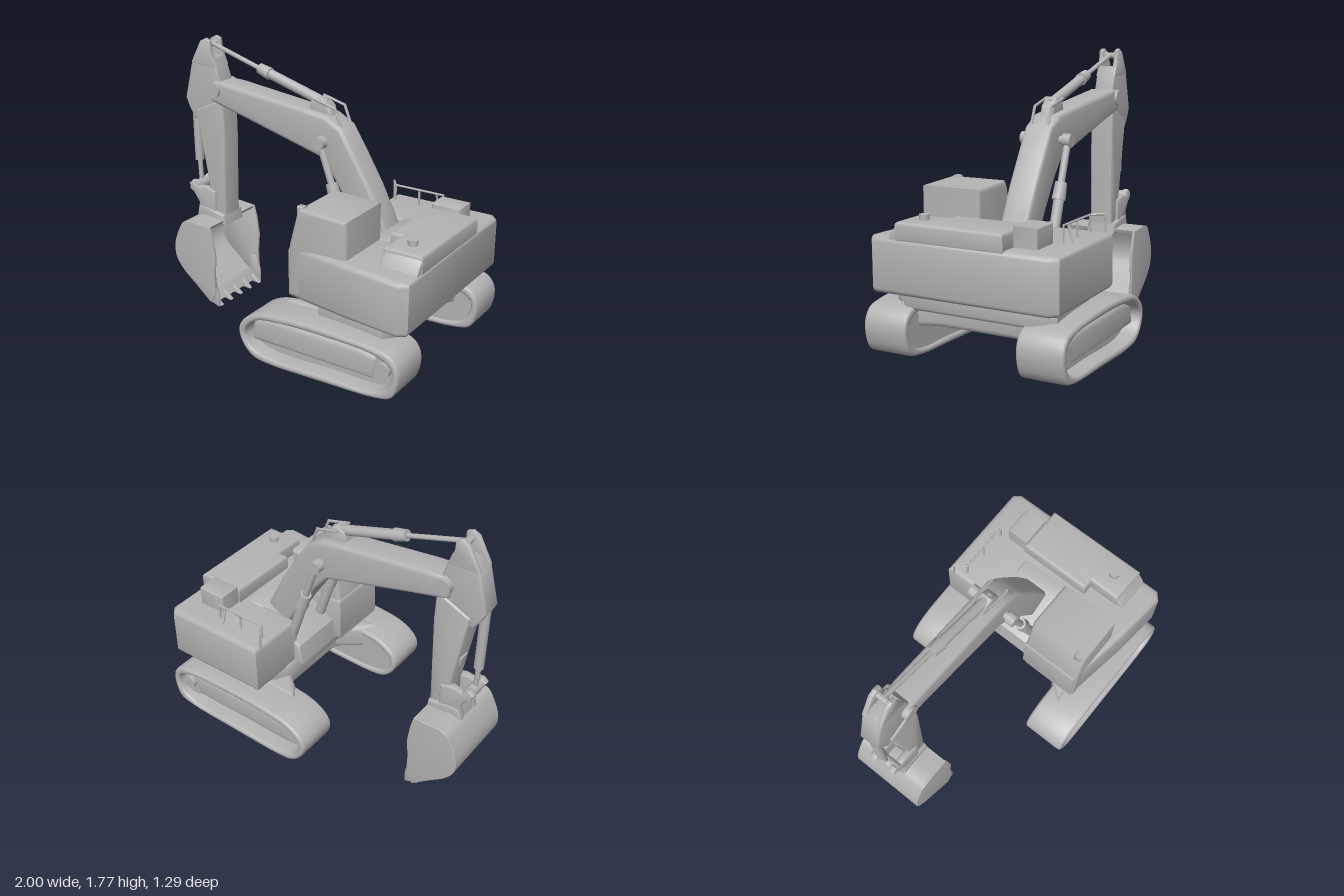
import * as THREE from 'three';
import { toCreasedNormals } from 'three/addons/utils/BufferGeometryUtils.js';

const grey = new THREE.MeshStandardMaterial({ color: 0xb4b4b4, side: THREE.DoubleSide });
grey.name = 'plain grey';

const ARM_Z = -0.08; // centre plane of boom, stick and bucket

function add(parent, name, geometry, crease = 0.8) {
  const mesh = new THREE.Mesh(toCreasedNormals(geometry, crease), grey);
  mesh.name = name;
  parent.add(mesh);
  return mesh;
}

const toShape = (pts) => new THREE.Shape(pts.map(([x, y]) => new THREE.Vector2(x, y)));

function extrude(shape, from, to, bevel) {
  const g = new THREE.ExtrudeGeometry(shape, {
    depth: to - from - 2 * bevel, bevelEnabled: bevel > 0, bevelThickness: bevel,
    bevelSize: bevel, bevelOffset: -bevel, bevelSegments: 3, curveSegments: 8,
  });
  return g.translate(0, 0, from + bevel);
}

// Side profile (x, y) extruded across z
const side = (pts, z0, z1, bevel = 0.012) => extrude(toShape(pts), z0, z1, bevel);
// Plan outline (x, z) extruded up from y0 to y1
const plan = (pts, y0, y1, bevel = 0.015) =>
  extrude(toShape(pts.map(([x, z]) => [x, -z])), y0, y1, bevel).rotateX(-Math.PI / 2);

function box(x0, x1, y0, y1, z0, z1, bevel = 0.01) {
  return side([[x0, y0], [x1, y0], [x1, y1], [x0, y1]], z0, z1, bevel);
}

// Round bar between two points
function rod(a, b, r0, r1 = r0, sides = 14) {
  const p = new THREE.Vector3(...a), q = new THREE.Vector3(...b);
  const d = q.clone().sub(p);
  const g = new THREE.CylinderGeometry(r1, r0, d.length(), sides);
  g.applyQuaternion(new THREE.Quaternion().setFromUnitVectors(new THREE.Vector3(0, 1, 0), d.normalize()));
  const m = p.add(q).multiplyScalar(0.5);
  return g.translate(m.x, m.y, m.z);
}
const pin = (x, y, z0, z1, r) => rod([x, y, z0], [x, y, z1], r, r, 18);

// Outline smoothed through a few points
function smooth(pts, n, closed = true) {
  const c = new THREE.CatmullRomCurve3(pts.map(([x, y]) => new THREE.Vector3(x, y, 0)), closed, 'centripetal');
  return c.getPoints(n).slice(0, closed ? -1 : undefined).map((p) => [p.x, p.y]);
}

function makeTrack(name) {
  const g = new THREE.Group();
  g.name = name;
  const outer = smooth([[-0.1, 0.22], [-0.07, 0.13], [0, 0.065], [0.1, 0.045], [0.5, 0.052], [0.85, 0.068],
    [0.95, 0.1], [0.99, 0.2], [0.985, 0.29], [0.94, 0.35], [0.85, 0.375], [0.5, 0.395], [0.2, 0.385],
    [0.03, 0.355], [-0.07, 0.29]], 60);
  const inner = smooth([[-0.055, 0.22], [-0.02, 0.13], [0.1, 0.09], [0.5, 0.095], [0.85, 0.11], [0.93, 0.17],
    [0.945, 0.27], [0.85, 0.33], [0.5, 0.35], [0.2, 0.34], [0.03, 0.31]], 48);
  const belt = toShape(outer);
  belt.holes.push(new THREE.Path(inner.map(([x, y]) => new THREE.Vector2(x, y))));
  add(g, 'trackBelt', extrude(belt, 0.355, 0.643, 0.018));
  add(g, 'trackWeb', side(inner, 0.37, 0.54, 0));
  add(g, 'trackFrame', side([[-0.03, 0.155], [0.82, 0.155], [0.84, 0.3], [0.7, 0.325], [0.1, 0.32], [-0.02, 0.27]], 0.5, 0.6, 0.03));
  add(g, 'driveSprocket', pin(0.86, 0.225, 0.52, 0.59, 0.085));
  add(g, 'sprocketHub', pin(0.88, 0.24, 0.57, 0.62, 0.045));
  return g;
}

function makeUndercarriage() {
  const g = new THREE.Group();
  g.name = 'undercarriage';
  g.add(makeTrack('leftTrack'));
  const right = makeTrack('rightTrack');
  right.scale.z = -1;
  g.add(right);
  add(g, 'centreFrame', plan([[0.12, 0.45], [0.18, 0.36], [0.32, 0.25], [0.32, -0.25], [0.18, -0.36], [0.12, -0.45],
    [0.88, -0.45], [0.82, -0.34], [0.79, -0.24], [0.79, 0.24], [0.82, 0.34], [0.88, 0.45]], 0.235, 0.4, 0.03));
  // Wide neck under the house
  add(g, 'turntable', plan([[0.27, 0.32], [0.38, 0.5], [0.82, 0.52], [0.9, 0.4], [0.9, -0.4], [0.82, -0.52], [0.38, -0.5],
    [0.27, -0.32]], 0.35, 0.48, 0.02));
  return g;
}

function makeHouse() {
  const g = new THREE.Group();
  g.name = 'upperHouse';
  // Deck with a bay for the boom foot
  add(g, 'houseBody', plan([[0.175, 0.11], [0.175, 0.5], [0.6, 0.565], [0.95, 0.6], [1, 0.56], [1, -0.56], [0.96, -0.605],
    [0.28, -0.6], [0.28, -0.21], [0.6, -0.21], [0.6, 0.11]], 0.455, 0.785, 0.03));
  add(g, 'bayFloor', side([[0.22, 0.465], [0.64, 0.465], [0.64, 0.79], [0.54, 0.79], [0.4, 0.7], [0.24, 0.6]], -0.24, 0.14));
  add(g, 'cab', side([[0.175, 0.47], [0.57, 0.47], [0.57, 1.015], [0.255, 1.025], [0.235, 0.99], [0.185, 0.8]], 0.115, 0.512, 0.022));
  add(g, 'cabFrontLamp', box(0.225, 0.27, 0.98, 1.033, 0.44, 0.49, 0.008));
  // Engine cover with sloped left end
  add(g, 'engineCover', plan([[0.68, -0.285], [0.995, -0.285], [0.995, 0.405], [0.75, 0.405], [0.75, 0.2], [0.68, 0.2]], 0.76, 0.88, 0.02));
  add(g, 'coverEnd', extrude(toShape([[-0.46, 0.77], [-0.44, 0.81], [-0.395, 0.868], [-0.36, 0.868], [-0.36, 0.77]]), 0.755, 0.99, 0.006)
    .rotateY(Math.PI / 2));
  add(g, 'airBox', box(0.69, 0.88, 0.77, 0.902, -0.43, -0.28));
  add(g, 'exhaust', rod([0.87, 0.86, 0.29], [0.87, 0.912, 0.29], 0.03));
  // Handrails on the right deck
  const rails = new THREE.Group();
  rails.name = 'handrails';
  g.add(rails);
  const paths = [
    [[0.33, 0.77, -0.48], [0.33, 0.885, -0.48], [0.67, 0.885, -0.48], [0.67, 0.77, -0.48]],
    [[0.28, 0.77, -0.555], [0.28, 0.885, -0.55], [0.33, 0.885, -0.48]],
    [[0.5, 0.77, -0.48], [0.5, 0.885, -0.48]],
    [[0.62, 0.77, -0.52], [0.62, 0.885, -0.48]],
  ];
  for (const p of paths) for (let i = 1; i < p.length; i++) add(rails, 'rail', rod(p[i - 1], p[i], 0.007, 0.007, 6));
  return g;
}

function makeArm() {
  const g = new THREE.Group();
  g.name = 'diggingArm';
  g.position.z = ARM_Z;
  add(g, 'boom', side([[-0.79, 1.45], [-0.75, 1.515], [-0.62, 1.51], [-0.05, 1.44], [0.1, 1.42], [0.21, 1.36], [0.3, 1.22],
    [0.42, 1.02], [0.56, 0.74], [0.52, 0.62], [0.42, 0.62], [0.27, 0.88], [0.15, 1.06], [0.06, 1.16], [-0.5, 1.31],
    [-0.7, 1.36], [-0.77, 1.38]], -0.09, 0.09, 0.025));
  add(g, 'boomFootPin', pin(0.47, 0.68, -0.15, 0.19, 0.05));
  add(g, 'stickPin', pin(-0.74, 1.46, -0.105, 0.105, 0.05));
  // Stick head with a forked tip
  add(g, 'stickHead', side([[-0.9, 1.66], [-0.94, 1.61], [-1, 1.37], [-0.97, 1.3], [-0.93, 1.24], [-0.72, 1.24],
    [-0.7, 1.48], [-0.76, 1.66]], -0.066, 0.066, 0.012));
  for (const z of [-0.068, 0.038])
    add(g, 'stickFork', side([[-0.82, 1.78], [-0.86, 1.76], [-0.94, 1.61], [-0.74, 1.6], [-0.78, 1.7], [-0.785, 1.765]], z, z + 0.03, 0.006));
  add(g, 'forkPin', pin(-0.82, 1.735, -0.06, 0.06, 0.02));
  add(g, 'stick', side([[-0.91, 1.3], [-0.69, 1.4], [-0.68, 1.2], [-0.685, 0.9], [-0.69, 0.58], [-0.77, 0.55], [-0.82, 0.62],
    [-0.82, 0.8]], -0.078, 0.078, 0.015));
  // Stick cylinder on top of the boom
  add(g, 'stickRod', rod([-0.82, 1.74, 0], [-0.4, 1.612, 0], 0.015));
  add(g, 'stickCylinderCollar', rod([-0.44, 1.625, 0], [-0.36, 1.6, 0], 0.034, 0.04));
  add(g, 'stickCylinder', rod([-0.38, 1.606, 0], [0.06, 1.475, 0], 0.032));
  add(g, 'stickCylinderLug', side([[-0.05, 1.42], [-0.03, 1.5], [0.04, 1.52], [0.1, 1.47], [0.12, 1.38]], -0.04, 0.04, 0.01));
  for (const s of [-1, 1]) {
    const z = s * 0.055;
    add(g, 'boomHose', rod([0, 1.51, z], [0.15, 1.47, z], 0.009, 0.009, 8));
    add(g, 'boomHose', rod([0.15, 1.475, z], [0.2, 1.35, z], 0.009, 0.009, 8));
  }
  // Paired boom cylinders
  add(g, 'boomCylinderPin', pin(0.1, 1.27, -0.155, 0.155, 0.025));
  for (const s of [-1, 1]) {
    const z = s * 0.14;
    add(g, 'boomCylinderEye', pin(0.1, 1.27, z - 0.027, z + 0.027, 0.04));
    add(g, 'boomRod', rod([0.1, 1.27, z], [0.2, 0.99, z], 0.022));
    add(g, 'boomCylinder', rod([0.19, 1.01, z], [0.3, 0.68, z], 0.032));
    add(g, 'boomCylinderCollar', rod([0.185, 1.03, z], [0.22, 0.93, z], 0.036, 0.042));
  }
  // Bucket cylinder and linkage
  add(g, 'bucketCylinder', rod([-0.965, 1.36, 0], [-0.955, 0.93, 0], 0.03));
  add(g, 'bucketRod', rod([-0.955, 0.95, 0], [-0.945, 0.77, 0], 0.016));
  add(g, 'stickLug', side([[-0.82, 1], [-0.86, 0.97], [-0.85, 0.91], [-0.8, 0.88]], -0.04, 0.04));
  add(g, 'linkPin', pin(-0.94, 0.765, -0.09, 0.09, 0.035));
  for (const z of [-0.095, 0.045])
    add(g, 'bucketLink', side([[-0.985, 0.78], [-0.95, 0.81], [-0.91, 0.775], [-0.84, 0.785], [-0.76, 0.76], [-0.76, 0.6],
      [-0.92, 0.56], [-0.9, 0.66], [-0.95, 0.73]], z, z + 0.05, 0.015));
  add(g, 'bucketLugs', side([[-0.92, 0.54], [-0.9, 0.64], [-0.82, 0.645], [-0.74, 0.62], [-0.69, 0.61], [-0.68, 0.54]], -0.1, 0.1, 0.015));
  return g;
}

function makeBucket() {
  const g = new THREE.Group();
  g.name = 'bucket';
  g.position.z = ARM_Z;
  // Curved back, open towards the machine
  const out = smooth([[-0.69, 0.575], [-0.9, 0.575], [-0.955, 0.5], [-0.993, 0.39], [-0.985, 0.3], [-0.93, 0.22], [-0.82, 0.13], [-0.7, 0.03]], 28, false);
  const back = out.map(([x, y]) => [x + (-0.76 - x) * 0.1, y + (0.38 - y) * 0.1]).reverse();
  add(g, 'bucketShell', side([...out, ...back], -0.245, 0.245, 0));
  for (const z of [-0.25, 0.232])
    add(g, 'bucketCheek', side([...out, [-0.655, 0.1], [-0.66, 0.25], [-0.65, 0.37], [-0.67, 0.5]], z, z + 0.018, 0.003));
  add(g, 'cuttingLip', side([[-0.77, 0.09], [-0.7, 0.025], [-0.67, 0.03], [-0.72, 0.1]], -0.24, 0.24, 0.005));
  for (let i = 0; i < 5; i++) {
    const z = -0.21 + i * 0.105;
    add(g, 'tooth', side([[-0.74, 0.06], [-0.69, 0.015], [-0.63, 0.012], [-0.69, 0.065]], z - 0.016, z + 0.016, 0.004));
  }
  for (const z of [-0.24, 0.222])
    add(g, 'sideCutter', side([[-0.73, 0.04], [-0.64, 0.01], [-0.64, 0.1], [-0.67, 0.2], [-0.72, 0.2]], z, z + 0.018, 0.003));
  return g;
}

export function createModel() {
  const model = new THREE.Group();
  model.name = 'excavator';
  model.add(makeUndercarriage(), makeHouse(), makeArm(), makeBucket());
  return model;
}
